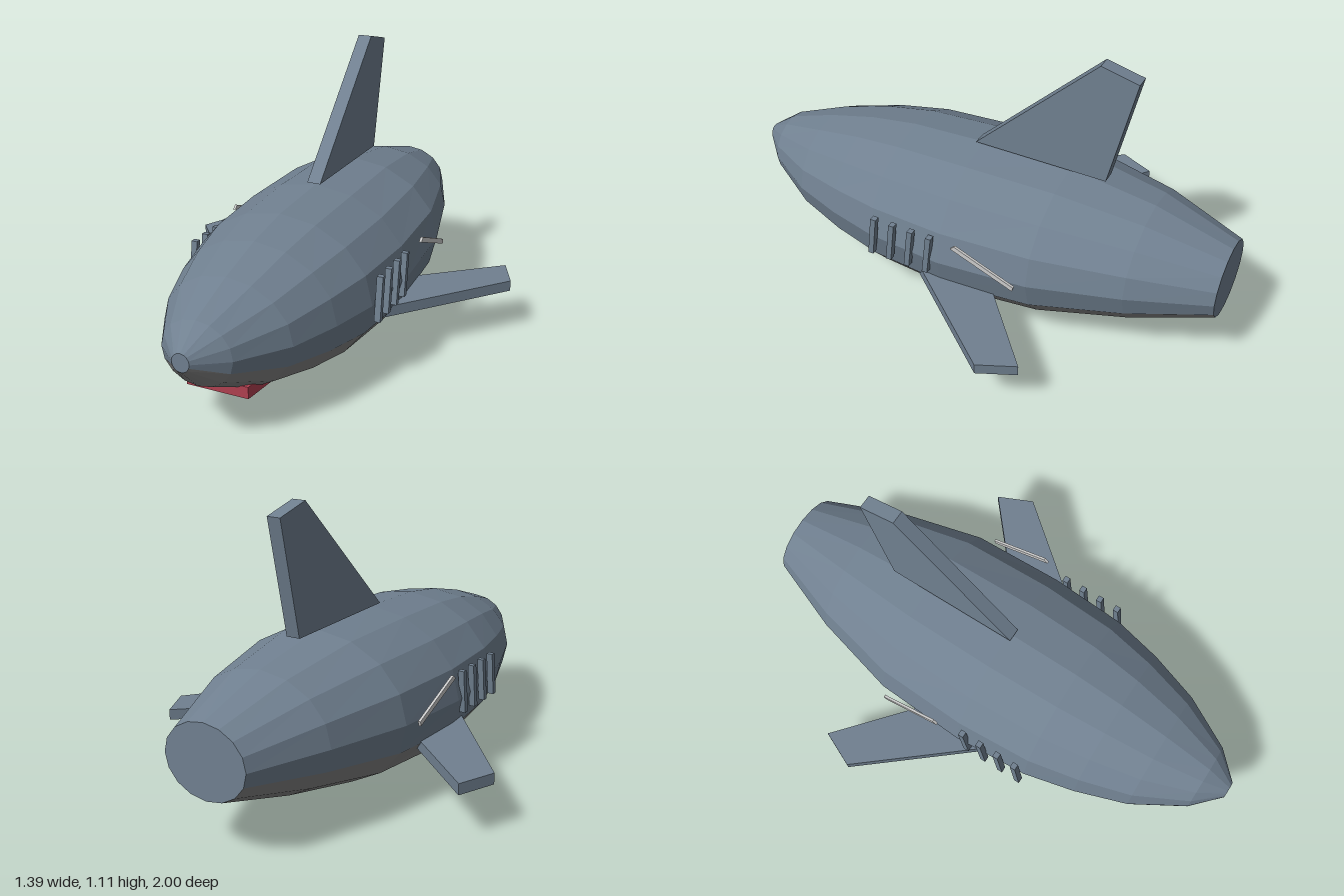
import * as THREE from 'three';

const SIDES = 16;
const mat = (color) => new THREE.MeshStandardMaterial({ color, flatShading: true });

// Body sections from nose to tail: z, half width, bottom, top
const SECTIONS = [
  [1, 0.033, 0.31, 0.378], [0.9, 0.135, 0.21, 0.45], [0.7, 0.25, 0.11, 0.52],
  [0.5, 0.318, 0.055, 0.573], [0.3, 0.365, 0.02, 0.605], [0, 0.385, 0, 0.62],
  [-0.36, 0.37, 0.04, 0.62], [-0.7, 0.284, 0.12, 0.57], [-1, 0.167, 0.21, 0.483],
];

function ringPoint([z, w, bottom, top], j) {
  const a = (j / SIDES) * Math.PI * 2;
  return [w * Math.cos(a), (top + bottom) / 2 + ((top - bottom) / 2) * Math.sin(a), z];
}

// Strip of hull facets from ring position j0 to j1
function hullGeometry(j0, j1) {
  const pos = [];
  for (let i = 0; i < SECTIONS.length - 1; i++) {
    for (let j = j0; j < j1; j++) {
      const a = ringPoint(SECTIONS[i], j), b = ringPoint(SECTIONS[i], j + 1);
      const c = ringPoint(SECTIONS[i + 1], j + 1), d = ringPoint(SECTIONS[i + 1], j);
      pos.push(...a, ...d, ...c, ...a, ...c, ...b);
    }
  }
  const g = new THREE.BufferGeometry();
  g.setAttribute('position', new THREE.Float32BufferAttribute(pos, 3));
  g.computeVertexNormals();
  return g;
}

function capGeometry([z, w, bottom, top], back) {
  const g = new THREE.CircleGeometry(1, SIDES);
  if (back) g.rotateY(Math.PI);
  return g.scale(w, (top - bottom) / 2, 1).translate(0, (top + bottom) / 2, z);
}

const extrude = (pts, depth) => new THREE.ExtrudeGeometry(
  new THREE.Shape(pts.map(([u, v]) => new THREE.Vector2(u, v))), { depth, bevelEnabled: false });

// Upright plate: outline in (z, y), from x0 to x1
const uprightPlate = (pts, x0, x1) =>
  extrude(pts, x1 - x0).rotateY(-Math.PI / 2).translate(x1, 0, 0);

// Level plate: outline in (x, z), from y0 to y1
const levelPlate = (pts, y0, y1) =>
  extrude(pts, y1 - y0).rotateX(Math.PI / 2).translate(0, y1, 0);

export function createModel() {
  const group = new THREE.Group();
  const skin = mat(0x708090), belly = mat(0x858585);
  const red = mat(0xb04050), pale = mat(0xcccccc);
  const add = (name, geometry, material) => {
    const m = new THREE.Mesh(geometry, material);
    m.name = name;
    group.add(m);
  };

  // Body
  add('bodyBack', hullGeometry(-1, 9), skin);
  add('bodyBelly', hullGeometry(9, 15), belly);
  add('noseCap', capGeometry(SECTIONS[0], false), skin);
  add('tailCap', capGeometry(SECTIONS[SECTIONS.length - 1], true), skin);

  // Dorsal fin
  add('dorsalFin', uprightPlate(
    [[0.02, 0.63], [-0.46, 1.105], [-0.605, 1.07], [-0.51, 0.63]], -0.027, 0.027), skin);

  // Mouth under the nose
  add('mouth', levelPlate(
    [[-0.12, 0.78], [0.12, 0.78], [0.137, 0.62], [-0.137, 0.62]], 0.127, 0.172), red);

  // Paired parts: left is +x
  for (const [side, s] of [['left', 1], ['right', -1]]) {
    const plate = (pts, a, b) => uprightPlate(pts, Math.min(s * a, s * b), Math.max(s * a, s * b));

    add(side + 'Fin', levelPlate(
      [[0.3, 0.15], [0.695, -0.325], [0.632, -0.465], [0.3, -0.18]].map(([x, z]) => [s * x, z]),
      0.175, 0.217), skin);

    for (let i = 0; i < 4; i++) {
      const z = 0.284 - i * 0.079;
      add(side + 'Gill' + (i + 1), plate(
        [[z + 0.012, 0.25], [z - 0.01, 0.25], [z - 0.03, 0.42], [z - 0.008, 0.42]],
        0.37, 0.394), skin);
    }

    add(side + 'Strip', plate(
      [[-0.073, 0.425], [-0.09, 0.44], [-0.33, 0.343], [-0.325, 0.325]], 0.398, 0.408), pale);
  }
  return group;
}
